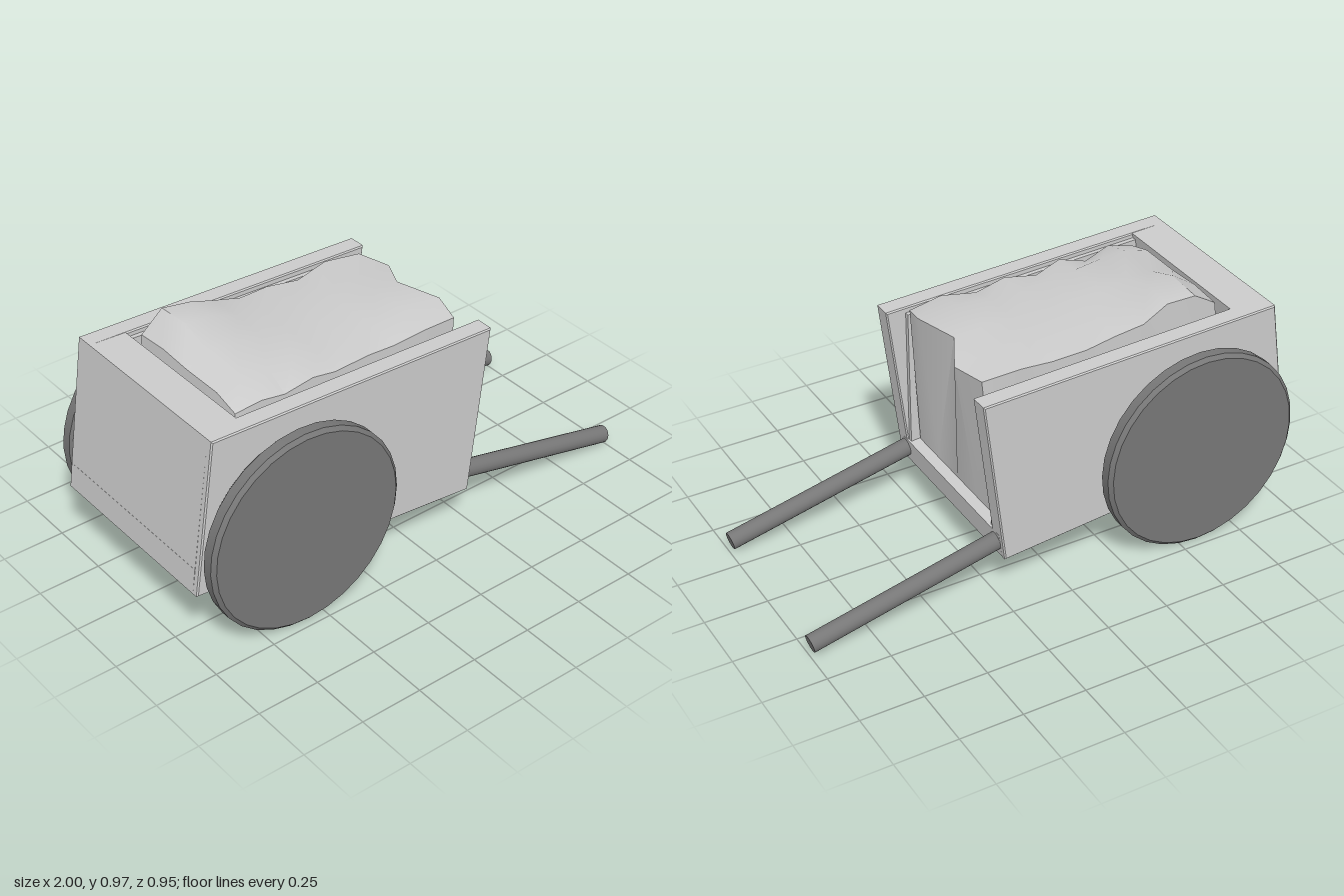
import * as THREE from 'three';
import { mergeVertices, toCreasedNormals } from 'three/addons/utils/BufferGeometryUtils.js';

const grey = new THREE.MeshStandardMaterial({ color: 0xcccccc });
const dark = new THREE.MeshStandardMaterial({ color: 0x777777 });

function add(group, name, geometry, material = grey) {
  const mesh = new THREE.Mesh(geometry, material);
  mesh.name = name;
  group.add(mesh);
  return mesh;
}

// Board with an outline in x/y, running from z0 to z1, with an optional small bevel
function board(points, z0, z1, bevel = 0) {
  const shape = new THREE.Shape(points.map(([x, y]) => new THREE.Vector2(x, y)));
  const g = new THREE.ExtrudeGeometry(shape, {
    depth: z1 - z0 - 2 * bevel,
    bevelEnabled: bevel > 0, bevelSize: bevel, bevelOffset: -bevel,
    bevelThickness: bevel, bevelSegments: 1,
  });
  return g.translate(0, 0, z0 + bevel);
}

// Lumpy load: a box whose top and front end are pushed into folds
function cargoGeometry() {
  const xs = [-0.73, -0.63, -0.52, -0.41, -0.3, -0.17, -0.04, 0.1, 0.25];
  const zs = [-0.28, -0.14, 0, 0.18, 0.29];
  const frontX = [0.25, 0.285, 0.21, 0.26, 0.24];
  const heights = [
    [0.90, 0.965, 0.955, 0.91, 0.885, 0.875, 0.86, 0.88, 0.865],
    [0.91, 0.975, 0.965, 0.92, 0.90, 0.88, 0.885, 0.885, 0.865],
    [0.90, 0.925, 0.925, 0.91, 0.895, 0.88, 0.89, 0.90, 0.89],
    [0.90, 0.925, 0.92, 0.905, 0.89, 0.88, 0.89, 0.90, 0.89],
    [0.87, 0.89, 0.86, 0.89, 0.86, 0.88, 0.86, 0.88, 0.865],
  ];
  let g = new THREE.BoxGeometry(1, 1, 1, 8, 1, 4);
  const p = g.attributes.position;
  for (let n = 0; n < p.count; n++) {
    const i = Math.round((p.getX(n) + 0.5) * 8);
    const k = Math.round((p.getZ(n) + 0.5) * 4);
    if (p.getY(n) > 0) {
      const edge = k === 0 || k === 4 ? (i % 2 ? 0.01 : -0.005) : 0;
      p.setXYZ(n, i === 8 ? frontX[k] : xs[i], heights[k][i], zs[k] + Math.sign(zs[k]) * edge);
    } else {
      const x = -0.8 + i / 8;
      p.setXYZ(n, x, 0.268 - 0.098 * (x - 0.24), -0.285 + 0.5875 * k / 4);
    }
  }
  g.deleteAttribute('normal');
  g.deleteAttribute('uv');
  g = mergeVertices(g);
  return toCreasedNormals(g, 0.6);
}

export function createModel() {
  const cart = new THREE.Group();
  cart.name = 'handcart';

  // Floor and tail wall; the other end of the bed is open
  add(cart, 'floor', board([[-1, 0.285], [0.23, 0.165], [0.243, 0.265], [-0.987, 0.385]], -0.38, 0.38));
  add(cart, 'endWall', board([[-0.99, 0.36], [-0.84, 0.35], [-0.76, 0.893], [-0.91, 0.9]], -0.38, 0.38));

  const outline = [[-1, 0.285], [0.23, 0.165], [0.315, 0.85], [-0.91, 0.9]];
  const lining = [[-0.87, 0.35], [0.235, 0.25], [0.235, 0.83], [-0.78, 0.875]];
  const wheelProfile = [[0, -0.034], [0.392, -0.034], [0.407, -0.02], [0.407, 0.02], [0.392, 0.034], [0, 0.034]];
  const wheelGeometry = toCreasedNormals(
    new THREE.LatheGeometry(wheelProfile.map(([r, y]) => new THREE.Vector2(r, y)), 32).rotateX(Math.PI / 2), 0.5);

  // Handle shaft from the bed down towards the ground
  const start = new THREE.Vector3(0.2, 0.229, 0);
  const end = new THREE.Vector3(0.992, 0.045, 0);
  const dir = end.clone().sub(start);
  const handleGeometry = new THREE.CylinderGeometry(0.035, 0.035, dir.length(), 20);

  for (const [side, s] of [['front', 1], ['back', -1]]) {
    const span = (a, b) => (s > 0 ? [a, b] : [-b, -a]);
    add(cart, side + 'SideWall', board(outline, ...span(0.328, 0.405), 0.005));
    add(cart, side + 'Lining', board(lining, ...span(0.31, 0.335)));

    add(cart, side + 'Wheel', wheelGeometry, dark).position.set(-0.572, 0.408, s * 0.443);

    const handle = add(cart, side + 'Handle', handleGeometry, dark);
    handle.position.copy(start).add(end).multiplyScalar(0.5);
    handle.position.z = s * 0.348;
    handle.quaternion.setFromUnitVectors(new THREE.Vector3(0, 1, 0), dir.clone().normalize());
  }

  add(cart, 'cargo', cargoGeometry());
  return cart;
}
